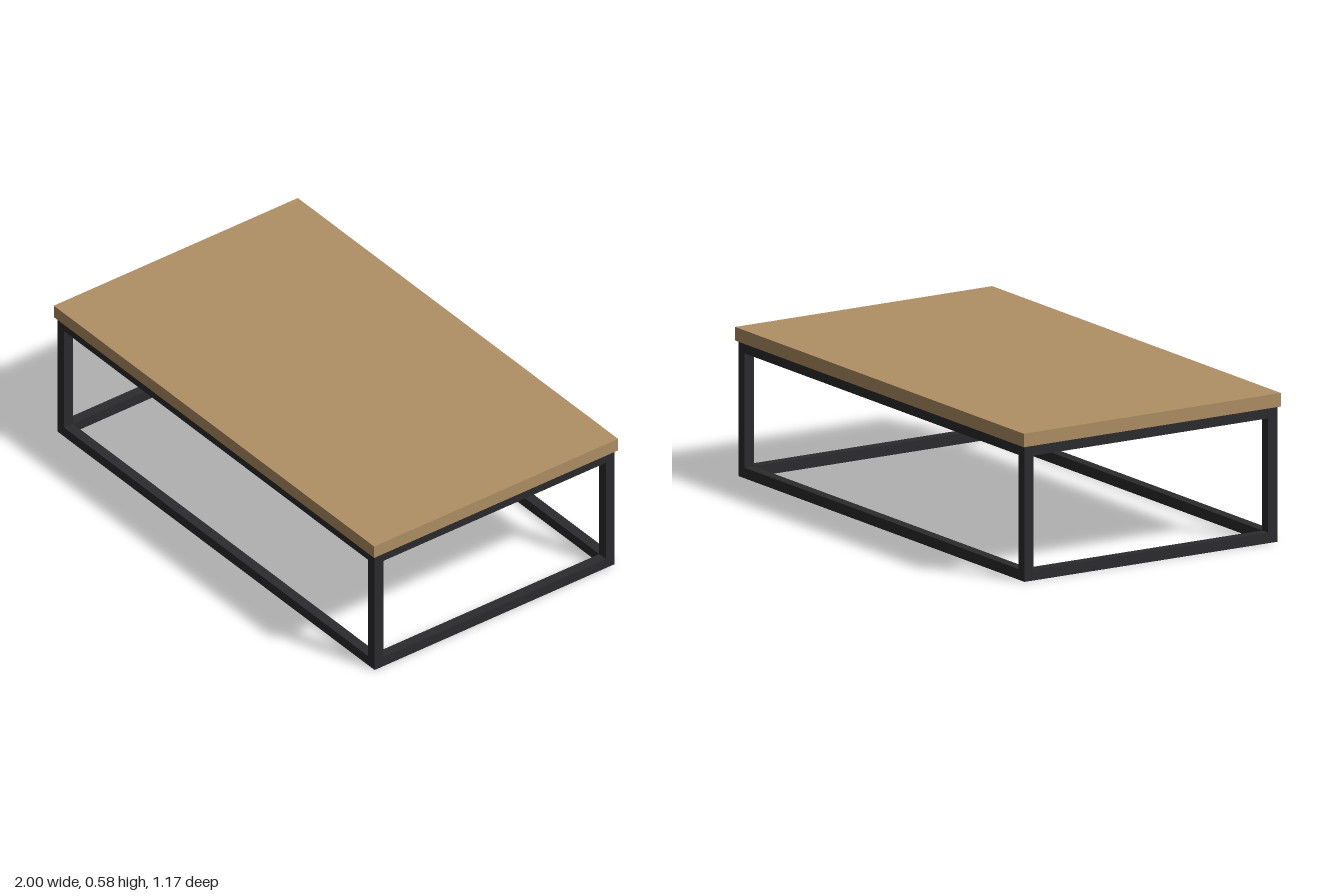
import * as THREE from 'three';

export function createModel() {
  const model = new THREE.Group();
  model.name = 'coffeeTable';

  const wood = new THREE.MeshStandardMaterial({ color: 0xb08f65 });
  wood.name = 'oak wood';
  const steel = new THREE.MeshStandardMaterial({ color: 0x2b2b2d });
  steel.name = 'black steel';

  const width = 2, depth = 1.167, height = 0.583, topThickness = 0.053;
  const tube = 0.0415, overhang = 0.01;
  const frameHeight = height - topThickness;
  // Centre lines of the square tubes
  const legX = width / 2 - overhang - tube / 2;
  const legZ = depth / 2 - overhang - tube / 2;

  function addBox(parent, name, material, size, position) {
    const mesh = new THREE.Mesh(new THREE.BoxGeometry(...size), material);
    mesh.name = name;
    mesh.position.set(...position);
    parent.add(mesh);
  }

  // Table top
  addBox(model, 'tableTop', wood, [width, topThickness, depth], [0, height - topThickness / 2, 0]);

  // Square tube frame
  const frame = new THREE.Group();
  frame.name = 'frame';
  model.add(frame);

  const levels = [['lower', tube / 2], ['upper', frameHeight - tube / 2]];
  for (const side of [-1, 1]) {
    // Legs at the four corners
    for (const end of [-1, 1]) {
      const name = (end > 0 ? 'front' : 'back') + (side > 0 ? 'Left' : 'Right') + 'Leg';
      addBox(frame, name, steel, [tube, frameHeight, tube], [side * legX, frameHeight / 2, end * legZ]);
    }
    // Rails fitted between the legs
    for (const [level, y] of levels) {
      addBox(frame, level + (side > 0 ? 'Front' : 'Back') + 'Rail', steel,
        [2 * legX - tube, tube, tube], [0, y, side * legZ]);
      addBox(frame, level + (side > 0 ? 'Left' : 'Right') + 'Rail', steel,
        [tube, tube, 2 * legZ - tube], [side * legX, y, 0]);
    }
  }

  return model;
}
